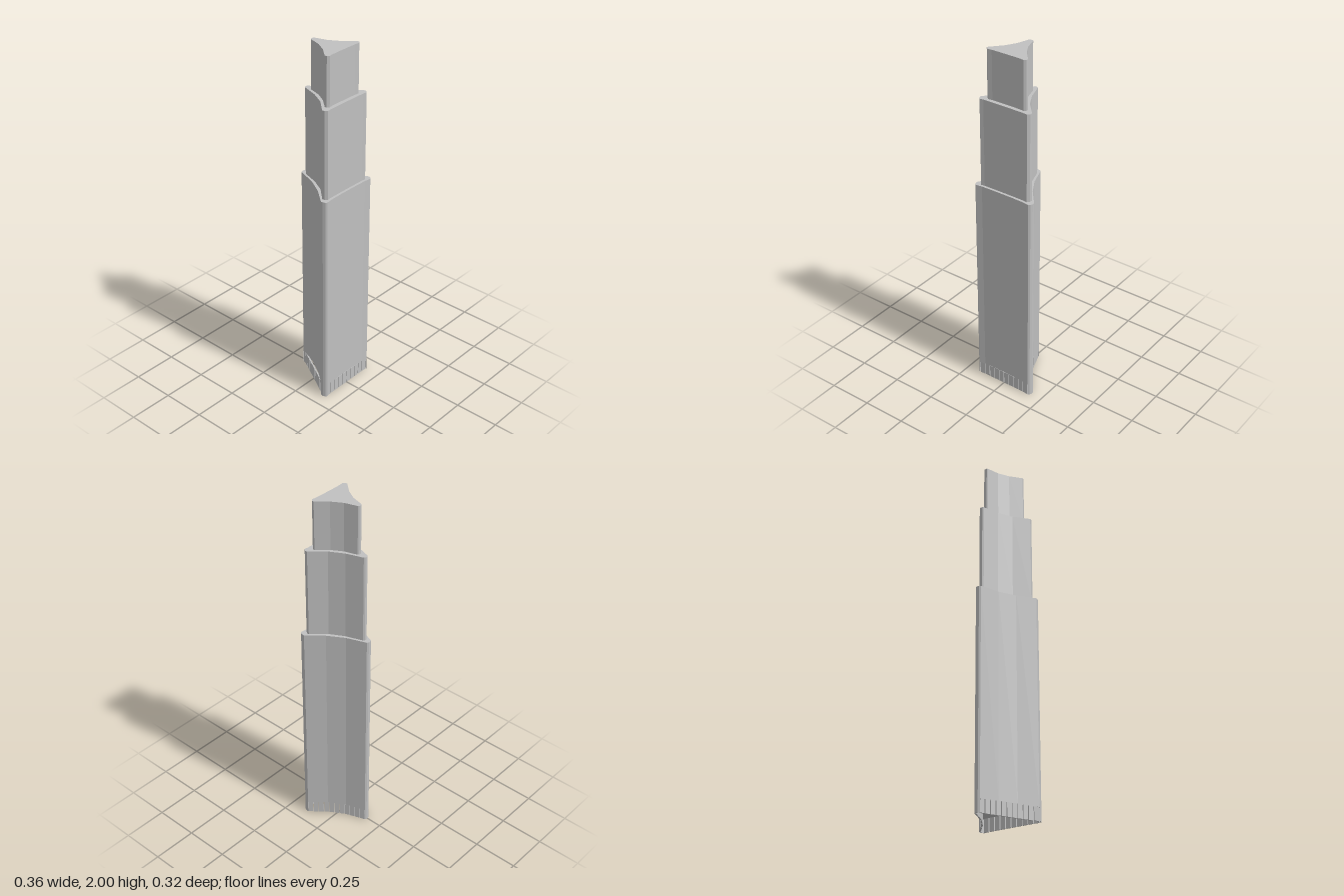
import * as THREE from 'three';

// Right half of each tier's plan as [x, z], from the back point to the front edge
const tiers = [
  { name: 'lowerTower', y0: 0.072, y1: 1.235, half: [[0.007, -0.159], [0.016, -0.153], [0.055, -0.045],
    [0.109, 0.045], [0.182, 0.132], [0.182, 0.144], [0.177, 0.157], [0.168, 0.164], [0.132, 0.159], [0.05, 0.157]] },
  { name: 'middleTower', y0: 1.235, y1: 1.73, half: [[0.007, -0.131], [0.014, -0.125], [0.045, -0.033],
    [0.088, 0.045], [0.158, 0.12], [0.157, 0.134], [0.146, 0.147], [0.125, 0.144], [0.05, 0.143]] },
  { name: 'upperTower', y0: 1.73, y1: 2, half: [[0.007, -0.089], [0.013, -0.084], [0.034, -0.014],
    [0.069, 0.045], [0.121, 0.104], [0.12, 0.116], [0.108, 0.125], [0.085, 0.122], [0.04, 0.121]] },
];

const mirror = (pts) => pts.map(([x, z]) => [-x, z]).reverse();

// Vertical prism over a plan outline
function prism(name, pts, y0, y1, material) {
  const shape = new THREE.Shape(pts.map(([x, z]) => new THREE.Vector2(x, -z)));
  const geo = new THREE.ExtrudeGeometry(shape, { depth: y1 - y0, bevelEnabled: false });
  geo.rotateX(-Math.PI / 2);
  geo.translate(0, y0, 0);
  const mesh = new THREE.Mesh(geo, material);
  mesh.name = name;
  return mesh;
}

// Row of separate upright panels along a plan path
function panelRow(name, pts, count, material) {
  const group = new THREE.Group();
  group.name = name;
  const path = new THREE.Path(pts.map(([x, z]) => new THREE.Vector2(x, z)));
  const curve = new THREE.CurvePath();
  path.curves.forEach((c) => curve.add(c));
  const stops = curve.getSpacedPoints(count);
  const depth = 0.008, height = 0.075;
  for (let i = 0; i < count; i++) {
    const a = stops[i], b = stops[i + 1];
    const dir = b.clone().sub(a);
    const length = dir.length();
    dir.normalize();
    const panel = new THREE.Mesh(new THREE.BoxGeometry(length - 0.004, height, depth), material);
    panel.name = 'basePanel';
    // inward normal of a clockwise path seen from above
    panel.position.set((a.x + b.x) / 2 - dir.y * depth / 2, height / 2, (a.y + b.y) / 2 + dir.x * depth / 2);
    panel.rotation.y = -Math.atan2(dir.y, dir.x);
    group.add(panel);
  }
  return group;
}

export function createModel() {
  const model = new THREE.Group();
  model.name = 'tower';
  const stone = new THREE.MeshStandardMaterial({ color: 0xc0c0c0 });
  stone.name = 'grey';

  // Three stepped shafts
  for (const { name, y0, y1, half } of tiers) {
    model.add(prism(name, [...half, ...mirror(half)], y0, y1, stone));
  }

  // Open, hollow base ringed by panels; the left-hand side runs straight
  const h = tiers[0].half;
  model.add(panelRow('rightBasePanels', h.slice(1, 5), 11, stone));
  model.add(panelRow('frontBasePanels', [[0.166, 0.162], [0.132, 0.159], [-0.132, 0.159], [-0.166, 0.162]], 10, stone));
  model.add(panelRow('leftBasePanels', [[-0.182, 0.132], [-0.159, 0.107], [-0.029, -0.121], [-0.016, -0.153]], 11, stone));

  // Corner posts of the base
  const corner = h.slice(4, 8);
  model.add(prism('frontRightPost', corner, 0, 0.075, stone));
  model.add(prism('frontLeftPost', mirror(corner), 0, 0.075, stone));
  model.add(prism('backPost', [...mirror(h.slice(0, 2)), ...h.slice(0, 2)], 0, 0.075, stone));

  return model;
}
